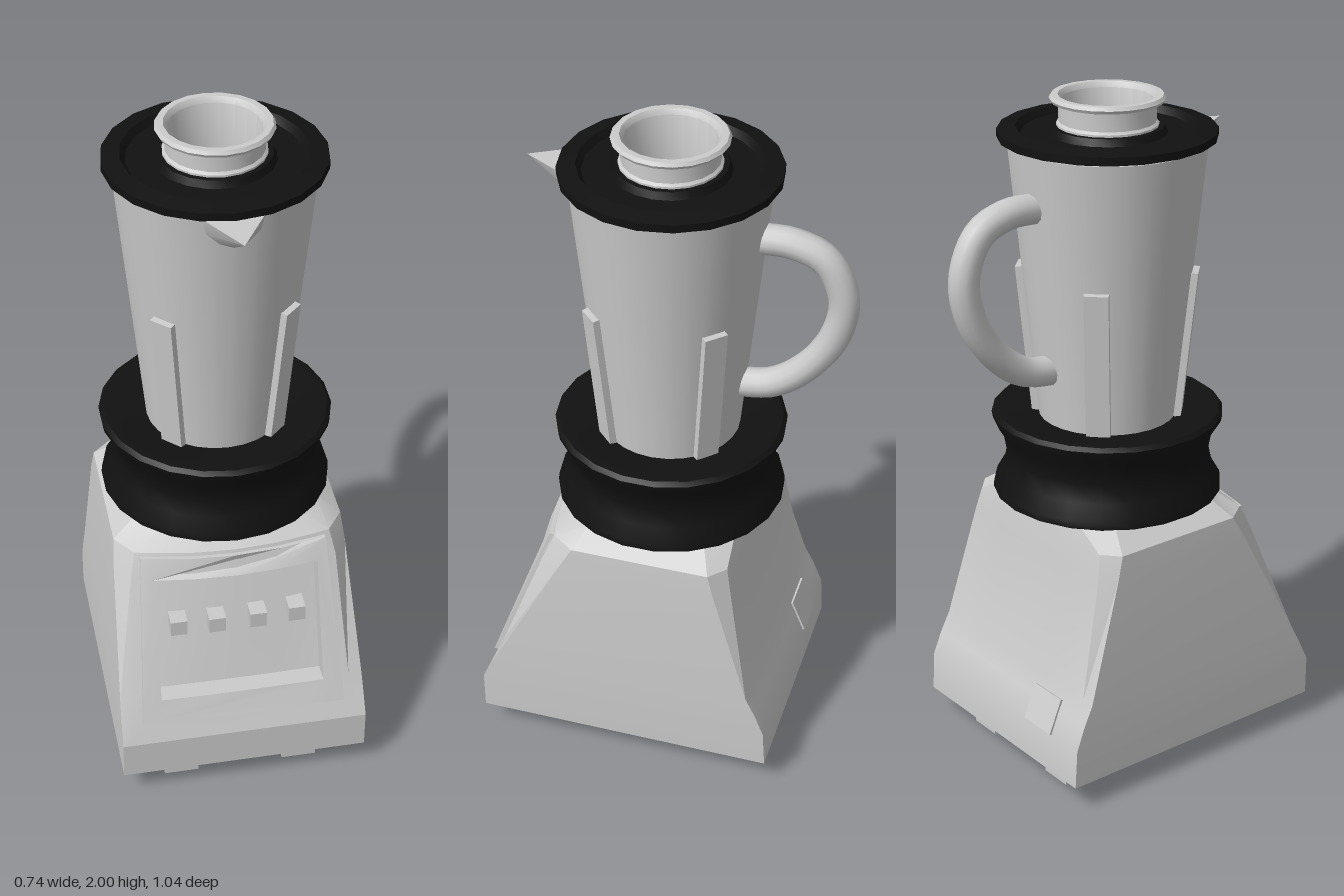
import * as THREE from 'three';
import { toCreasedNormals } from 'three/addons/utils/BufferGeometryUtils.js';
import { ConvexGeometry } from 'three/addons/geometries/ConvexGeometry.js';

const grey = new THREE.MeshStandardMaterial({ color: 0xcccccc });
const black = new THREE.MeshStandardMaterial({ color: 0x111111 });
const AXIS_Z = 0.02; // jar axis

function part(name, geometry, material = grey) {
  const mesh = new THREE.Mesh(geometry, material);
  mesh.name = name;
  return mesh;
}

function lathe(name, profile, segments, material) {
  const points = profile.map(([r, y]) => new THREE.Vector2(r, y));
  const geo = toCreasedNormals(new THREE.LatheGeometry(points, segments), 0.6);
  return part(name, geo.translate(0, 0, AXIS_Z), material);
}

// Housing sections: y, half width, front z, front bow, side front z, corner x, side back z, back z
const SECTIONS = [
  [0.08, 0.37, 0.52, 0, 0.52, 0.36, -0.385, -0.385],
  [0.20, 0.37, 0.52, 0, 0.52, 0.36, -0.378, -0.378],
  [0.27, 0.368, 0.49, 0, 0.487, 0.33, -0.35, -0.35],
  [0.33, 0.366, 0.468, 0.005, 0.455, 0.325, -0.32, -0.325],
  [0.69, 0.347, 0.358, 0.033, 0.265, 0.305, -0.21, -0.27],
  [0.76, 0.34, 0.335, 0.04, 0.225, 0.29, -0.19, -0.26],
  [0.81, 0.27, 0.27, 0.03, 0.19, 0.2, -0.16, -0.25],
];
const PANEL_X = 0.245, PANEL_ROW = 3, RECESS = 0.045;

// Front surface depth at any x, y
function frontZ(x, y) {
  let j = 0;
  while (j < SECTIONS.length - 2 && y > SECTIONS[j + 1][0]) j++;
  const a = SECTIONS[j], b = SECTIONS[j + 1], t = (y - a[0]) / (b[0] - a[0]);
  const mix = k => THREE.MathUtils.lerp(a[k], b[k], t);
  return mix(2) - mix(3) * (x / mix(5)) ** 2;
}

function section([y, w, f, bow, sf, c, sb, b]) {
  const i = Math.min(PANEL_X, c * 0.85);
  const front = [c, i, i / 2, 0, -i / 2, -i, -c].map(x => [x, y, f - bow * (x / c) ** 2]);
  const back = [-c, -c / 2, c / 2, c].map(x => [x, y, b + bow * 0.6 * (x / c) ** 2]);
  return [...front, [-w, y, sf], [-w, y, sb], ...back, [w, y, sb], [w, y, sf]];
}

// Lofted housing with a recessed control panel
function housing() {
  const rows = SECTIONS.map(section), n = rows[0].length, last = rows.length - 1;
  const verts = rows.flat(), index = [];
  for (let j = 0; j < last; j++) {
    for (let i = 0; i < n; i++) {
      if (j === PANEL_ROW && i >= 1 && i <= 4) continue;
      const a = j * n + i, b = j * n + (i + 1) % n;
      index.push(a, a + n, b, b, a + n, b + n);
    }
  }
  // end caps
  const bottom = verts.push([0, SECTIONS[0][0], 0]) - 1;
  const top = verts.push([0, SECTIONS[last][0], 0]) - 1;
  for (let i = 0; i < n; i++) {
    const k = (i + 1) % n;
    index.push(bottom, i, k, top, last * n + k, last * n + i);
  }
  // recess walls and floor
  const loop = [1, 2, 3, 4, 5].map(i => PANEL_ROW * n + i)
    .concat([5, 4, 3, 2, 1].map(i => (PANEL_ROW + 1) * n + i));
  const sunk = loop.map(i => verts.push([verts[i][0], verts[i][1], verts[i][2] - RECESS]) - 1);
  for (let k = 0; k < 10; k++) {
    const m = (k + 1) % 10;
    index.push(loop[k], sunk[k], loop[m], loop[m], sunk[k], sunk[m]);
  }
  for (let k = 0; k < 4; k++) {
    index.push(sunk[k], sunk[9 - k], sunk[k + 1], sunk[k + 1], sunk[9 - k], sunk[8 - k]);
  }
  const geo = new THREE.BufferGeometry();
  geo.setAttribute('position', new THREE.Float32BufferAttribute(verts.flat(), 3));
  geo.setIndex(index);
  return part('housing', toCreasedNormals(geo, 0.35));
}

// Raised border that follows the bowed front
function panelFrame() {
  const steps = [-1, -0.5, 0, 0.5, 1];
  const loop = (wBottom, yBottom, wTop, yTop) => [
    ...steps.map(s => new THREE.Vector2(s * wBottom, yBottom)),
    ...steps.map(s => new THREE.Vector2(-s * wTop, yTop)),
  ];
  const shape = new THREE.Shape(loop(0.305, 0.262, 0.275, 0.75));
  shape.holes.push(new THREE.Path(loop(PANEL_X, 0.33, PANEL_X, 0.69).reverse()));
  const geo = new THREE.ExtrudeGeometry(shape, { depth: 0.022, bevelEnabled: false });
  const p = geo.attributes.position;
  for (let i = 0; i < p.count; i++) {
    p.setZ(i, p.getZ(i) - 0.01 + frontZ(p.getX(i), p.getY(i)));
  }
  return part('panelFrame', toCreasedNormals(geo, 0.35));
}

export function createModel() {
  const model = new THREE.Group();
  model.name = 'blender';
  model.add(housing(), panelFrame());

  // Push buttons
  for (const x of [-0.177, -0.063, 0.06, 0.177]) {
    const button = part('button', new THREE.BoxGeometry(0.05, 0.05, 0.06));
    button.position.set(x, 0.535, frontZ(x, 0.535) - RECESS + 0.015);
    model.add(button);
  }

  // Foot rails
  for (const x of [-0.185, 0.18]) {
    const rail = part('footRail', new THREE.BoxGeometry(0.104, 0.085, 0.78));
    rail.position.set(x, 0.0425, 0.07);
    model.add(rail);
  }

  // Small plate on the back slope
  const plate = part('backPlate', new THREE.BoxGeometry(0.125, 0.11, 0.012));
  plate.position.set(-0.183, 0.25, -0.358);
  plate.rotation.x = 0.39;
  model.add(plate);

  // Waisted collar
  model.add(lathe('collar', [
    [0, 0.806], [0.325, 0.806], [0.34, 0.815], [0.338, 0.835], [0.312, 0.88], [0.3, 0.935],
    [0.31, 0.99], [0.338, 1.035], [0.342, 1.055], [0.33, 1.066], [0.31, 1.066], [0.21, 1.05], [0, 1.05],
  ], 22, black));

  // Tapered jar, open at the top
  model.add(lathe('jar', [
    [0, 1.0], [0.198, 1.0], [0.285, 1.87], [0.27, 1.87], [0.19, 1.08], [0, 1.08],
  ], 28));

  // Raised ribs along the jar
  const slope = Math.atan2(0.087, 0.87);
  for (let k = 0; k < 4; k++) {
    const pivot = new THREE.Group();
    pivot.name = 'jarRib';
    const rib = part('rib', new THREE.BoxGeometry(0.07, 0.46, 0.03));
    rib.position.set(0, 1.265, 0.2265);
    rib.rotation.x = slope;
    pivot.add(rib);
    pivot.rotation.y = Math.PI / 4 + k * Math.PI / 2;
    pivot.position.z = AXIS_Z;
    model.add(pivot);
  }

  // Pouring spout
  const spout = [[0, 1.868, 0.435], [0, 1.76, 0.275], [0, 1.79, 0.315]];
  for (const s of [-1, 1]) {
    spout.push([s * 0.1, 1.868, 0.265], [s * 0.085, 1.81, 0.265], [s * 0.045, 1.775, 0.27]);
  }
  const spoutGeo = new ConvexGeometry(spout.map(p => new THREE.Vector3(...p)));
  model.add(part('spout', toCreasedNormals(spoutGeo, 0.6)));

  // Looped handle
  const handlePath = new THREE.CatmullRomCurve3([
    [1.715, -0.23], [1.715, -0.33], [1.675, -0.425], [1.56, -0.477],
    [1.43, -0.455], [1.31, -0.375], [1.24, -0.28], [1.22, -0.17],
  ].map(([y, z]) => new THREE.Vector3(0, y, z)));
  model.add(part('handle', new THREE.TubeGeometry(handlePath, 32, 0.044, 12)));

  // Lid ring with a shallow trough
  model.add(lathe('lid', [
    [0.135, 1.87], [0.28, 1.87], [0.312, 1.88], [0.312, 1.903], [0.26, 1.912],
    [0.245, 1.892], [0.17, 1.892], [0.16, 1.912], [0.135, 1.912], [0.135, 1.87],
  ], 20, black));

  // Hollow filler cap
  model.add(lathe('fillerCap', [
    [0, 1.81], [0.134, 1.81], [0.134, 1.9], [0.145, 1.91], [0.145, 1.918], [0.138, 1.925],
    [0.138, 1.975], [0.16, 1.981], [0.165, 1.99], [0.158, 2.0], [0.14, 2.0], [0.129, 1.985],
    [0.122, 1.83], [0, 1.83],
  ], 20));

  return model;
}
